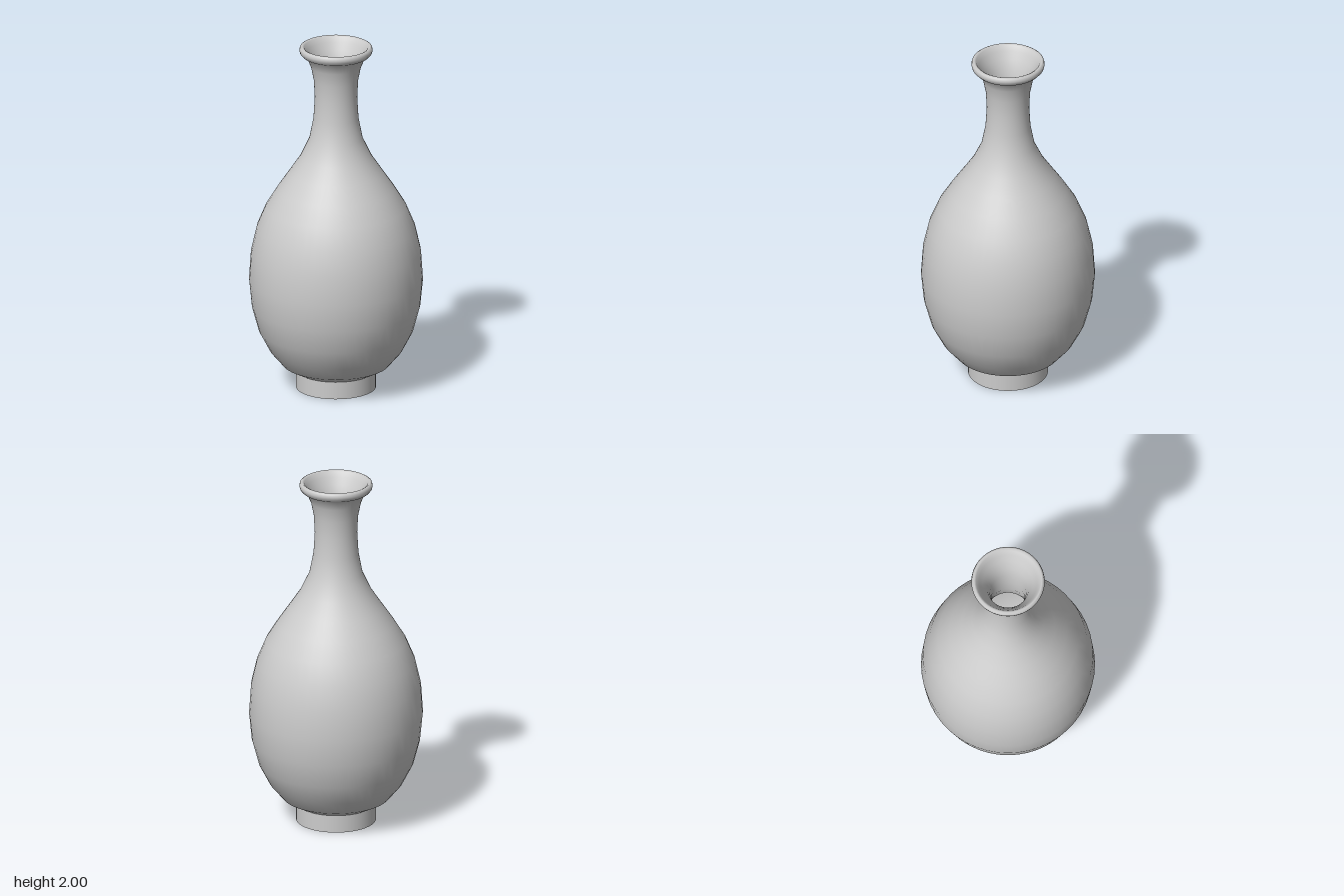
import * as THREE from 'three';

const SEGMENTS = 48;
const vec = ([r, y]) => new THREE.Vector2(r, y);

export function createModel() {
  const vase = new THREE.Group();
  vase.name = 'vase';
  const material = new THREE.MeshStandardMaterial({ color: 0xcccccc });

  const addLathe = (name, points, parent = vase) => {
    const mesh = new THREE.Mesh(new THREE.LatheGeometry(points, SEGMENTS), material);
    mesh.name = name;
    parent.add(mesh);
  };

  // Outer wall, from the foot up to the underside of the lip
  const outer = [
    [0.222, 0.1], [0.298, 0.14], [0.37, 0.225], [0.43, 0.34], [0.468, 0.48],
    [0.483, 0.635], [0.472, 0.8], [0.44, 0.94], [0.39, 1.06], [0.325, 1.165],
    [0.26, 1.26], [0.2, 1.35], [0.148, 1.46], [0.125, 1.58], [0.118, 1.7],
    [0.123, 1.8], [0.139, 1.88], [0.163, 1.935],
  ];
  // Rounded lip, rolling over into the mouth
  const lip = [
    [0.187, 1.947], [0.2, 1.962], [0.204, 1.978], [0.2, 1.993], [0.189, 2], [0.177, 1.993],
  ];
  // Inner wall, from the mouth down to the floor
  const inner = [
    [0.162, 1.965], [0.14, 1.925], [0.115, 1.87], [0.1, 1.8], [0.093, 1.7],
    [0.1, 1.58], [0.123, 1.46], [0.175, 1.35], [0.3, 1.16], [0.415, 0.94],
    [0.457, 0.635], [0.407, 0.35], [0.285, 0.17], [0.2, 0.13], [0, 0.125],
  ];
  addLathe('body', [...outer, ...lip, ...inner].map(vec));

  // Foot ring with a recessed underside; separate bands keep its edges sharp
  const foot = new THREE.Group();
  foot.name = 'foot';
  vase.add(foot);
  const footProfile = [[0, 0.05], [0.185, 0.05], [0.185, 0], [0.222, 0], [0.222, 0.1]].map(vec);
  ['footUnderside', 'footInnerWall', 'footRim', 'footOuterWall'].forEach((name, i) =>
    addLathe(name, [footProfile[i], footProfile[i + 1]], foot));

  return vase;
}
